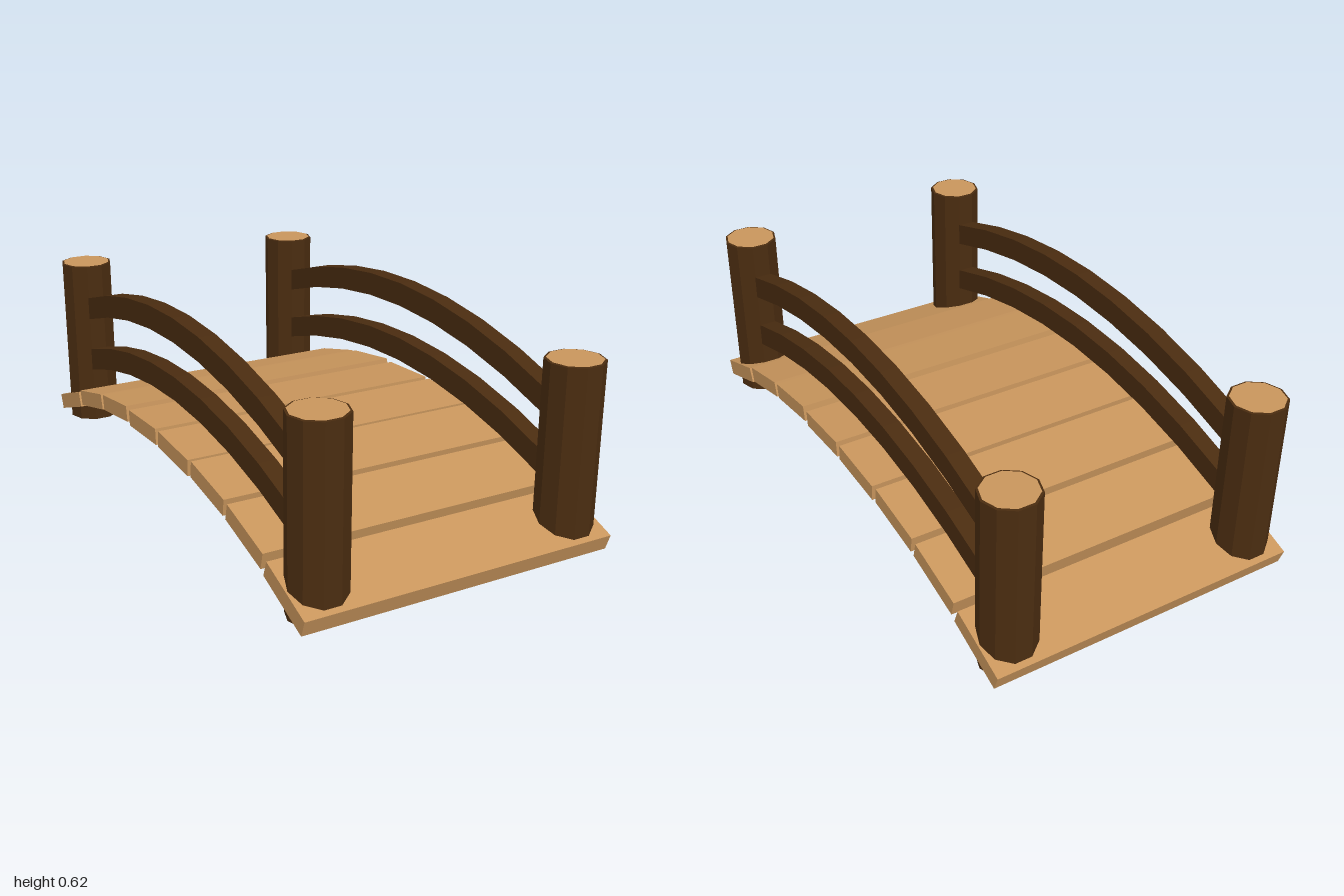
import * as THREE from 'three';

export function createModel() {
  const plankWood = new THREE.MeshStandardMaterial({ color: 0xc8955c });
  plankWood.name = 'light wood';
  const darkWood = new THREE.MeshStandardMaterial({ color: 0x4a2c10 });
  darkWood.name = 'dark wood';

  const bridge = new THREE.Group();
  bridge.name = 'footbridge';

  function add(name, geometry, material, x, y, z) {
    const mesh = new THREE.Mesh(geometry, material);
    mesh.name = name;
    mesh.position.set(x, y, z);
    bridge.add(mesh);
    return mesh;
  }

  // Deck planks stepping down the arch: [z, y, tilt in degrees]
  const plankGeometry = new THREE.BoxGeometry(1.066, 0.056, 0.235);
  const steps = [[0.128, 0.217, 3.2], [0.386, 0.199, 8.5], [0.636, 0.148, 14.3], [0.88, 0.066, 19.7]];
  for (const [z, y, tilt] of steps) {
    for (const side of [1, -1]) {
      const plank = add('plank', plankGeometry, plankWood, 0, y, side * z);
      plank.rotation.x = side * THREE.MathUtils.degToRad(tilt);
    }
  }

  // Ten-sided posts with a pale cut end on top
  const postHeight = 0.606;
  const postGeometry = new THREE.CylinderGeometry(0.093, 0.093, postHeight, 10)
    .rotateY(Math.PI / 2).toNonIndexed();
  postGeometry.computeVertexNormals();
  const cutEndGeometry = new THREE.CircleGeometry(0.086, 10).rotateX(-Math.PI / 2);
  for (const x of [-0.434, 0.434]) {
    for (const z of [-0.892, 0.892]) {
      add('post', postGeometry, darkWood, x, postHeight / 2, z);
      add('postCutEnd', cutEndGeometry, plankWood, x, postHeight + 0.002, z);
    }
  }

  // Arched handrail: a segmented parabola with a square section
  const arch = (z) => -0.211 * z * z;
  const stations = [-0.85, -0.8, -0.6, -0.4, -0.2, 0, 0.2, 0.4, 0.6, 0.8, 0.85];
  const lower = stations.map((z) => new THREE.Vector2(z, arch(z) - 0.082));
  const upper = stations.map((z) => new THREE.Vector2(z, arch(z))).reverse();
  const railGeometry = new THREE.ExtrudeGeometry(new THREE.Shape([...lower, ...upper]), {
    depth: 0.06, bevelEnabled: false,
  }).translate(0, 0, -0.03).rotateY(-Math.PI / 2);
  for (const x of [-0.434, 0.434]) {
    add('topRail', railGeometry, darkWood, x, 0.624, 0);
    add('lowerRail', railGeometry, darkWood, x, 0.423, 0);
  }

  return bridge;
}
